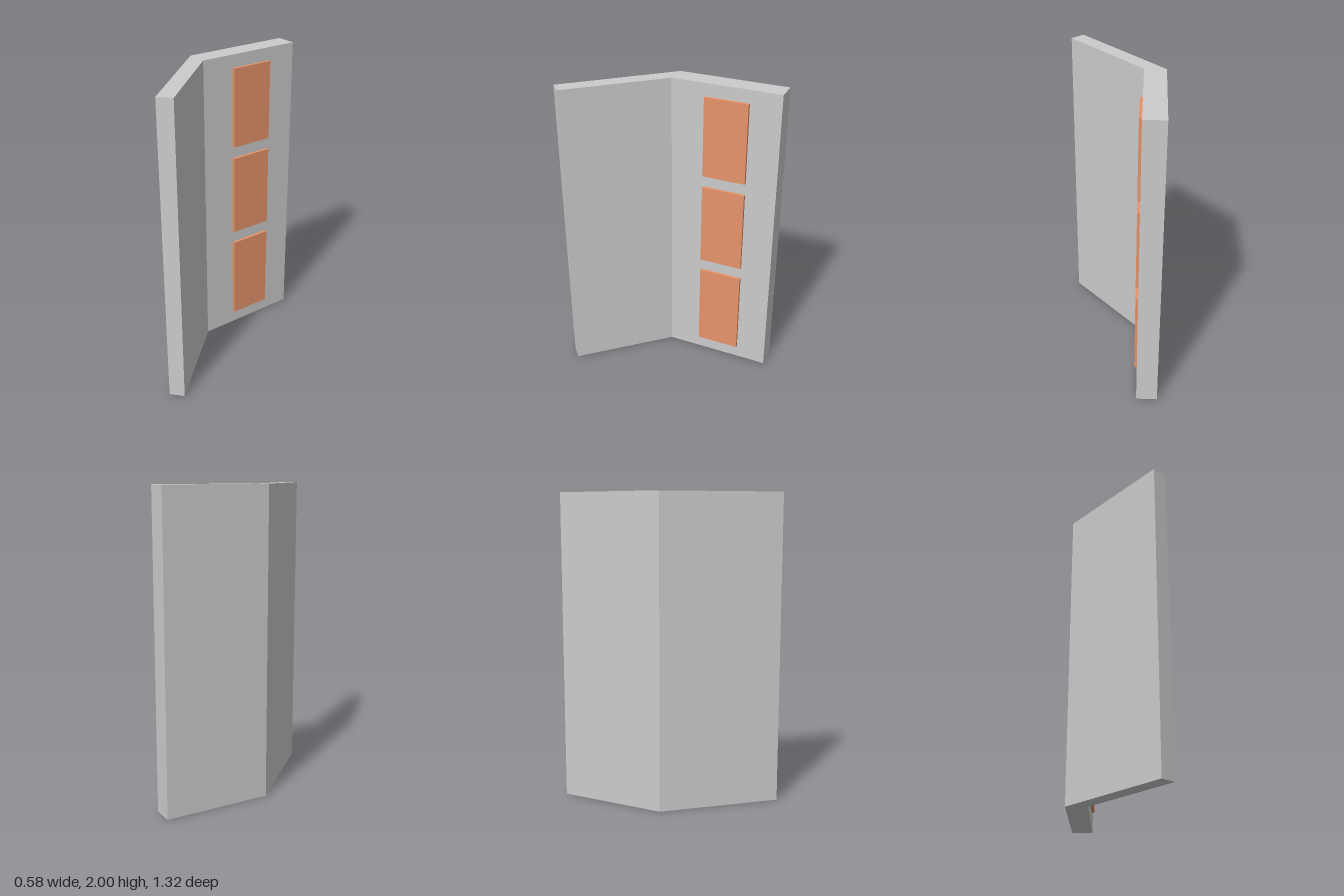
import * as THREE from 'three';

const HEIGHT = 2;
// Plan of the folded wall as [x, z]
const PLAN = [[-0.293, 0.66], [-0.193, 0.66], [-0.193, -0.048], [0.29, -0.57], [0.19, -0.662], [-0.293, -0.14]];

export function createModel() {
  const model = new THREE.Group();
  model.name = 'foldedWall';

  // Wall: plan extruded upwards
  const shape = new THREE.Shape(PLAN.map(([x, z]) => new THREE.Vector2(x, -z)));
  const wallGeometry = new THREE.ExtrudeGeometry(shape, { depth: HEIGHT, bevelEnabled: false });
  wallGeometry.rotateX(-Math.PI / 2);
  const wall = new THREE.Mesh(wallGeometry, new THREE.MeshStandardMaterial({ color: 0xcccccc, flatShading: true }));
  wall.name = 'wall';
  model.add(wall);

  // Angled wing frame: origin at the inner corner, x along the wing, z outwards
  const [cornerX, cornerZ] = PLAN[2];
  const [endX, endZ] = PLAN[3];
  const panels = new THREE.Group();
  panels.name = 'panels';
  panels.position.set(cornerX, 0, cornerZ);
  panels.rotation.y = Math.atan2(cornerZ - endZ, endX - cornerX);
  model.add(panels);

  // Three thin coloured panels, stacked [bottom, top]
  const panelMaterial = new THREE.MeshStandardMaterial({ color: 0xe6946a });
  [[0.09, 0.67], [0.755, 1.305], [1.385, 1.915]].forEach(([bottom, top], i) => {
    const panel = new THREE.Mesh(new THREE.BoxGeometry(0.287, top - bottom, 0.03), panelMaterial);
    panel.position.set(0.366, (bottom + top) / 2, 0.004);
    panel.name = ['lowerPanel', 'middlePanel', 'upperPanel'][i];
    panels.add(panel);
  });

  return model;
}
